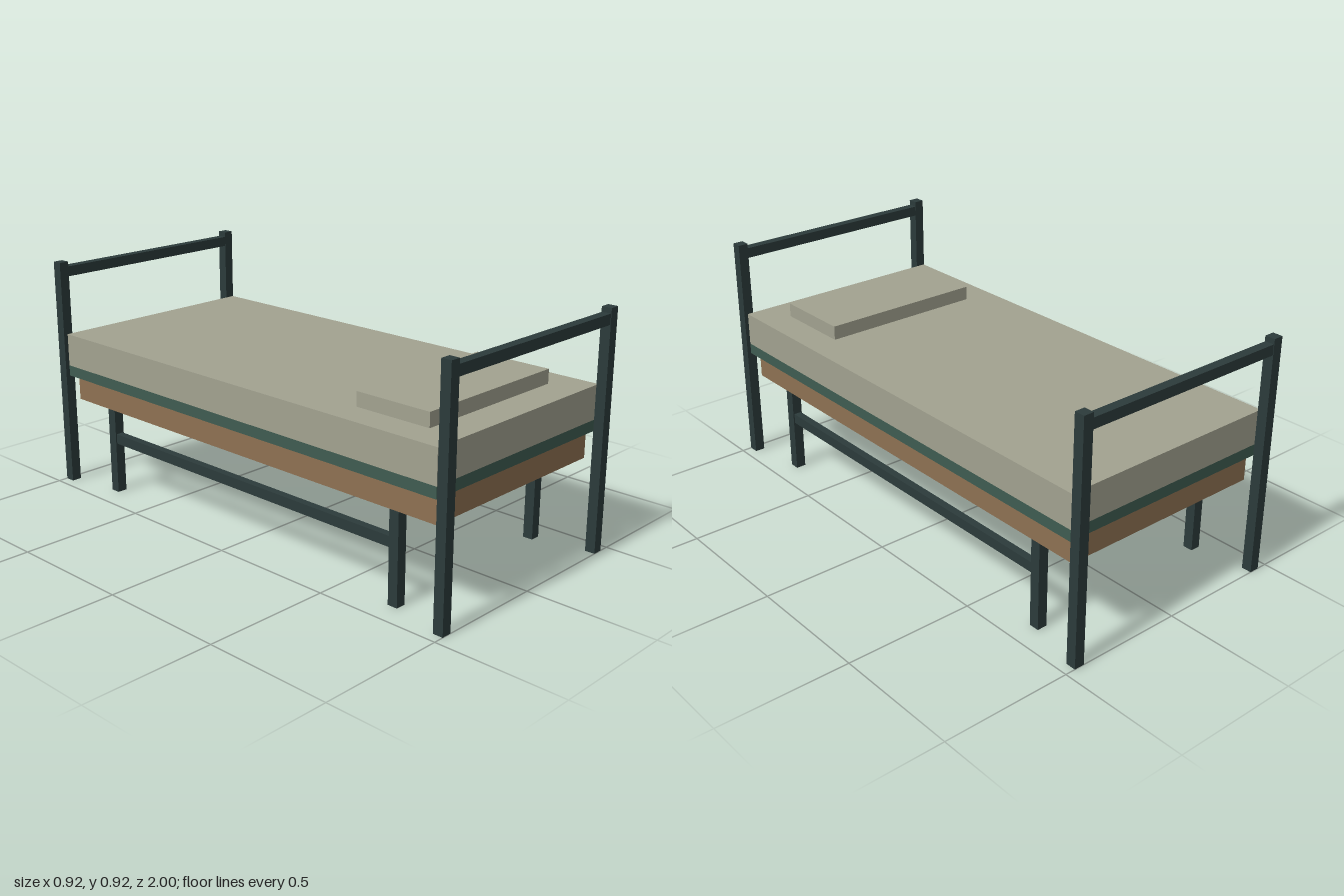
import * as THREE from 'three';

const paint = (name, color) => Object.assign(new THREE.MeshStandardMaterial({ color }), { name });

export function createModel() {
  const steel = paint('dark steel', 0x2c3b3b);
  const green = paint('frame green', 0x3f5c51);
  const wood = paint('brown wood', 0x8e7152);
  const linen = paint('grey linen', 0xa2a290);

  const bed = new THREE.Group();
  bed.name = 'bed';

  // Box from its size, bottom height and horizontal centre
  const box = (name, material, [w, h, d], x, bottom, z) => {
    const mesh = new THREE.Mesh(new THREE.BoxGeometry(w, h, d), material);
    mesh.name = name;
    mesh.position.set(x, bottom + h / 2, z);
    bed.add(mesh);
  };

  // Bedding and the panels under it
  box('bedFrame', green, [0.9, 0.043, 1.9], 0, 0.457, 0);
  box('mattress', linen, [0.9, 0.13, 1.9], 0, 0.5, 0);
  box('pillow', linen, [0.66, 0.055, 0.315], 0, 0.63, 0.662);
  box('underbedBox', wood, [0.84, 0.09, 1.86], 0, 0.355, 0);

  for (const s of [-1, 1]) {
    // Rail across each end
    box('endRail', steel, [0.84, 0.04, 0.036], 0, 0.86, s * 0.98);
    // Bar joining the legs along each side
    box('sideBar', steel, [0.03, 0.04, 1.45], s * 0.387, 0.208, 0);
    for (const t of [-1, 1]) {
      box('cornerPost', steel, [0.04, 0.92, 0.04], s * 0.44, 0, t * 0.98);
      box('leg', steel, [0.04, 0.457, 0.04], s * 0.387, 0, t * 0.743);
    }
  }
  return bed;
}
